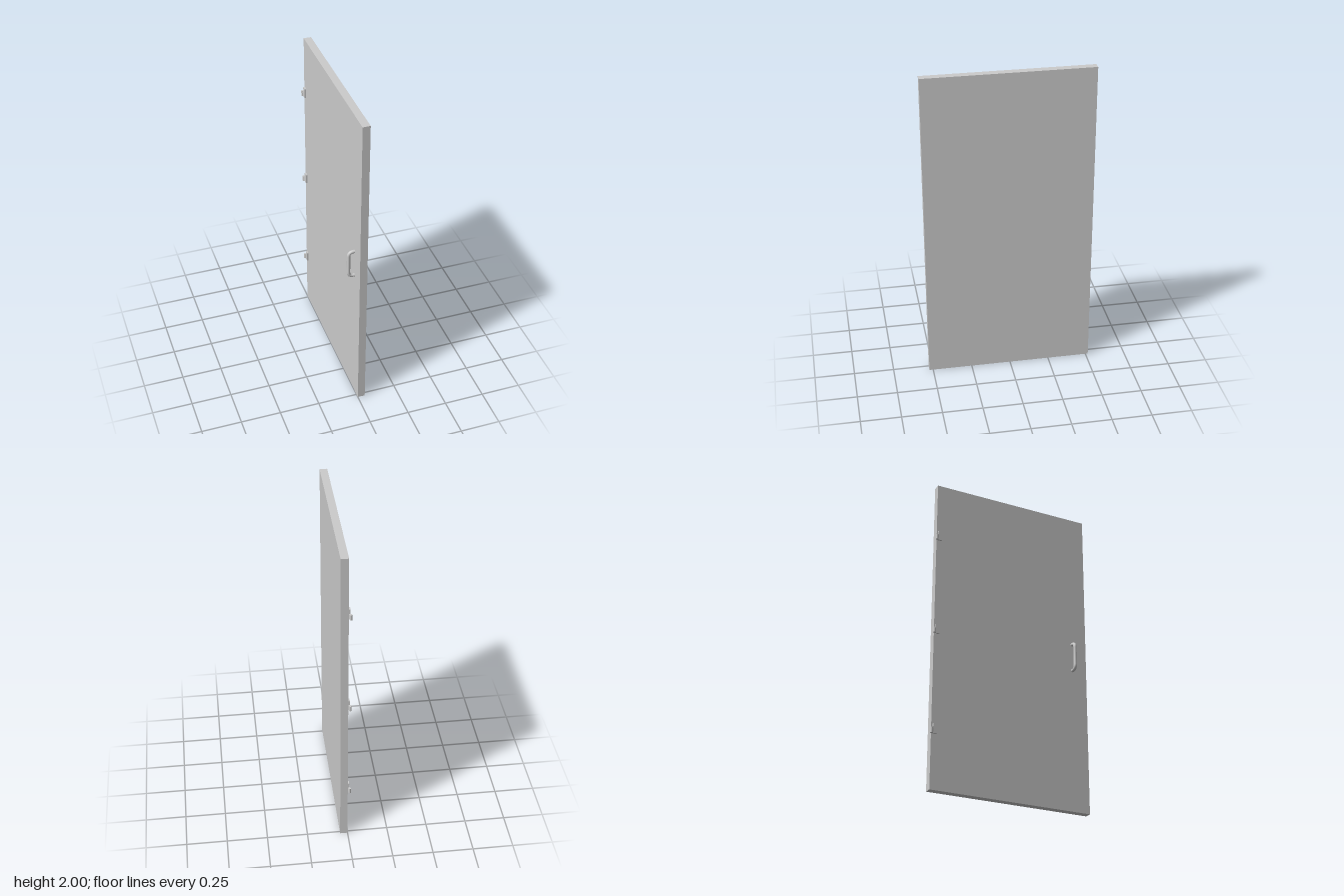
import * as THREE from 'three';

const mat = new THREE.MeshStandardMaterial({ color: 0xcccccc });

function add(parent, name, geometry, x = 0, y = 0, z = 0) {
  const mesh = new THREE.Mesh(geometry, mat);
  mesh.name = name;
  mesh.position.set(x, y, z);
  parent.add(mesh);
  return mesh;
}

// Leaf outline: u runs along the door from its hinge edge, v runs up
function leafGeometry() {
  const w = 0.026, h = 0.067, r = 0.009;
  const s = new THREE.Shape();
  s.moveTo(0, 0);
  s.lineTo(w, 0);
  s.lineTo(w, h - r);
  s.absarc(w - r, h - r, r, 0, Math.PI / 2);
  s.lineTo(r, h);
  s.absarc(r, h - r, r, Math.PI / 2, Math.PI);
  s.closePath();
  const g = new THREE.ExtrudeGeometry(s, { depth: 0.01, bevelEnabled: false, curveSegments: 6 });
  return g.rotateY(-Math.PI / 2);
}

// Web joining the leaf to the knuckle
function webGeometry() {
  const s = new THREE.Shape([
    [-0.016, 0.517], [-0.008, 0.517], [-0.001, 0.506], [-0.010, 0.506],
  ].map(([x, y]) => new THREE.Vector2(x, y)));
  return new THREE.ExtrudeGeometry(s, { depth: 0.033, bevelEnabled: false }).rotateX(-Math.PI / 2);
}

function makeHinge(y) {
  const hinge = new THREE.Group();
  hinge.name = 'hinge';
  hinge.position.y = y;
  add(hinge, 'hingeLeaf', leafGeometry(), 0, 0, -0.507);
  add(hinge, 'hingeWeb', webGeometry());
  add(hinge, 'hingeKnuckle', new THREE.CylinderGeometry(0.0075, 0.0075, 0.034, 20), -0.012, 0.017, -0.518);
  return hinge;
}

// Pull handle: straight grip with a quarter bend at each end
function handleGeometry() {
  const out = -0.037, half = 0.088, r = 0.03;
  const v = (x, y) => new THREE.Vector3(x, y, 0);
  const path = new THREE.CurvePath();
  path.add(new THREE.LineCurve3(v(0.003, half), v(out + r, half)));
  path.add(new THREE.QuadraticBezierCurve3(v(out + r, half), v(out, half), v(out, half - r)));
  path.add(new THREE.LineCurve3(v(out, half - r), v(out, r - half)));
  path.add(new THREE.QuadraticBezierCurve3(v(out, r - half), v(out, -half), v(out + r, -half)));
  path.add(new THREE.LineCurve3(v(out + r, -half), v(0.003, -half)));
  return new THREE.TubeGeometry(path, 80, 0.0105, 16);
}

export function createModel() {
  const door = new THREE.Group();
  door.name = 'door';
  add(door, 'doorPanel', new THREE.BoxGeometry(0.046, 2, 1.04), 0.023, 1, 0.004);
  add(door, 'pullHandle', handleGeometry(), 0, 1.003, 0.427);
  for (const y of [0.337, 0.972, 1.607]) door.add(makeHinge(y));
  return door;
}
